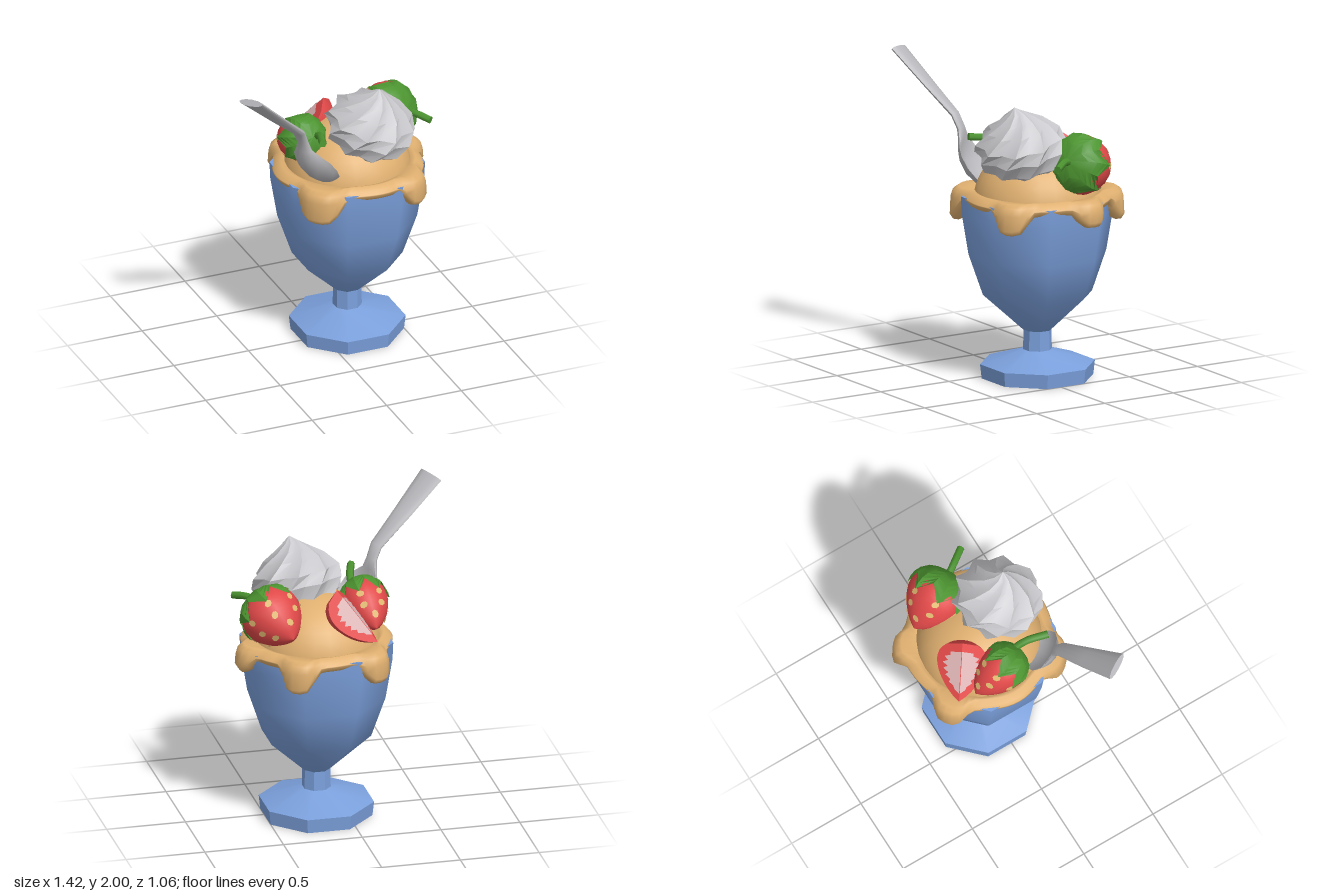
import * as THREE from 'three';
import { toCreasedNormals } from 'three/addons/utils/BufferGeometryUtils.js';

const V = (x, y, z) => new THREE.Vector3(x, y, z);
const AXIS = V(0.177, 0, -0.035);

function material(name, color, side = THREE.FrontSide) {
  const m = new THREE.MeshStandardMaterial({ color, side });
  m.name = name;
  return m;
}

// Surface from rows of points; closed loops the columns, rows run upward
function grid(rows, cols, point, closed = true) {
  const pos = [], index = [], n = closed ? cols : cols + 1;
  for (let i = 0; i <= rows; i++) {
    for (let j = 0; j < n; j++) pos.push(...point(i, j).toArray());
  }
  for (let i = 0; i < rows; i++) {
    for (let j = 0; j < cols; j++) {
      const a = i * n + j, b = i * n + (j + 1) % n;
      index.push(a, b, b + n, a, b + n, a + n);
    }
  }
  const g = new THREE.BufferGeometry();
  g.setAttribute('position', new THREE.Float32BufferAttribute(pos, 3));
  g.setIndex(index);
  g.computeVertexNormals();
  return g;
}

function add(parent, name, geometry, mat) {
  const mesh = new THREE.Mesh(geometry, mat);
  mesh.name = name;
  parent.add(mesh);
  return mesh;
}

const lathe = (pts, segs, start = 0, length = Math.PI * 2) =>
  new THREE.LatheGeometry(pts.map(([r, y]) => new THREE.Vector2(r, y)), segs, start, length);

// Berry radius, t from 0 at the stem to 1 at the tip
const berryR = t => t < 0.36
  ? Math.sqrt(Math.max(0, 1 - ((0.36 - t) / 0.36) ** 2))
  : Math.max(0, Math.cos((t - 0.36) / 0.64 * Math.PI / 2)) ** 0.75;

const berryProfile = (L, R) =>
  Array.from({ length: 15 }, (_, i) => [R * berryR(1 - i / 14), -L * (1 - i / 14)]);

export function createModel() {
  const model = new THREE.Group();
  model.name = 'sundae';
  const two = THREE.DoubleSide;
  const glass = material('blue glass', 0x7ba0dc);
  const caramel = material('caramel ice cream', 0xe0b070);
  const white = material('whipped cream', 0xc8c8cc);
  const metal = material('spoon metal', 0xb8b8bc);
  const red = material('berry red', 0xe04848, two);
  const pale = material('berry flesh', 0xdcb4b4, two);
  const green = material('leaf green', 0x4c9430, two);
  const seedMat = material('seed', 0xe0b870, two);

  // Eight-sided glass: faceted foot and stem, smooth bowl
  const foot = lathe([[0, 0], [0.35, 0], [0.36, 0.09], [0.09, 0.175], [0.088, 0.3]], 8, Math.PI / 8);
  add(model, 'foot', toCreasedNormals(foot, 0.5), glass).position.copy(AXIS);
  const bowl = lathe([[0.09, 0.3], [0.342, 0.53], [0.432, 0.79], [0.475, 1.05], [0.48, 1.16], [0.3, 1.16]], 8, Math.PI / 8);
  add(model, 'bowl', toCreasedNormals(bowl, 0.9), glass).position.copy(AXIS);

  // Ice cream dome
  const dome = add(model, 'iceCreamDome',
    new THREE.SphereGeometry(1, 24, 10, 0, Math.PI * 2, 0, Math.PI / 2), caramel);
  dome.scale.set(0.4, 0.36, 0.4);
  dome.position.copy(AXIS).setY(1.11);

  // Melting rim: [angle, bottom height, half width] of each drip
  const drips = [[-0.76, 0.98, 0.29], [0.66, 1.0, 0.22], [1.75, 1.03, 0.2], [2.67, 0.99, 0.22], [-2.51, 1.0, 0.22]];
  const rim = grid(8, 72, (i, j) => {
    const a = j / 72 * Math.PI * 2;
    let bottom = 1.115, bulge = 0;
    for (const [da, y, w] of drips) {
      const d = Math.atan2(Math.sin(a - da), Math.cos(a - da));
      const k = Math.exp(-((d / w) ** 4));
      bottom -= (1.115 - y) * k;
      bulge += 0.07 * k;
    }
    const R = 0.47 + bulge + 0.006 * Math.sin(a * 7);
    const [r, y] = [
      [0.42, bottom + 0.03], [R - 0.055, bottom], [R - 0.02, bottom + 0.005], [R, bottom + 0.035],
      [R - 0.005, Math.max(1.13, bottom + 0.04)], [R - 0.02, 1.175], [R - 0.055, 1.198],
      [0.39, 1.19], [0.34, 1.15]][i];
    return V(r * Math.sin(a), y, r * Math.cos(a));
  });
  add(model, 'meltedRim', rim, caramel).position.copy(AXIS);

  // Whipped cream swirl, twisted ridges on a leaning axis
  const swirl = [[0, 0.03], [0.17, 0], [0.25, 0.05], [0.285, 0.14], [0.27, 0.21], [0.19, 0.29], [0.11, 0.345], [0.05, 0.39], [0, 0.43]];
  const cream = grid(swirl.length - 1, 18, (i, j) => {
    const [r, y] = swirl[i], k = r * (j % 2 ? 0.87 : 1.02);
    const a = j / 18 * Math.PI * 2 + i * 0.22;
    return V(k * Math.sin(a), y, k * Math.cos(a));
  });
  const creamMesh = add(model, 'whippedCream', toCreasedNormals(cream, 0.45), white);
  creamMesh.position.set(0.235, 1.345, 0.105);
  creamMesh.rotation.set(0.24, 0, -0.13);

  // Spoon: sections of [x, y, z, half width, half thickness, hollow]
  const spoon = [
    [-0.67, 1.975, 0.44, 0, 0, 0], [-0.67, 1.975, 0.44, 0.09, 0.022, 0], [-0.46, 1.775, 0.35, 0.068, 0.022, 0],
    [-0.28, 1.61, 0.275, 0.045, 0.022, 0], [-0.245, 1.53, 0.255, 0.04, 0.022, 0], [-0.23, 1.47, 0.245, 0.06, 0.02, 0.01],
    [-0.205, 1.42, 0.235, 0.105, 0.015, 0.04], [-0.16, 1.36, 0.225, 0.138, 0.012, 0.065],
    [-0.105, 1.29, 0.215, 0.135, 0.012, 0.065], [-0.05, 1.23, 0.205, 0.095, 0.012, 0.04],
    [-0.015, 1.2, 0.2, 0.045, 0.01, 0.01], [-0.005, 1.195, 0.2, 0, 0, 0]];
  const across = V(0.48, 0.16, 0.86).normalize();
  const centre = i => V(...spoon[THREE.MathUtils.clamp(i, 0, spoon.length - 1)]);
  const spoonGeo = grid(spoon.length - 1, 12, (i, j) => {
    const [, , , hw, th, dent] = spoon[i];
    const along = centre(i + 1).sub(centre(i - 1)).normalize();
    const up = across.clone().cross(along).normalize();
    if (up.y < 0) up.negate();
    const side = along.clone().cross(up).normalize();
    const a = -j / 12 * Math.PI * 2, c = Math.cos(a);
    return centre(i).addScaledVector(side, hw * c)
      .addScaledVector(up, th * Math.sin(a) - dent * (1 - c * c));
  });
  // keep the faces turned outward
  const p = spoonGeo.attributes.position, q = k => V().fromBufferAttribute(p, k);
  const n0 = q(25).sub(q(24)).cross(q(36).sub(q(24)));
  if (n0.dot(q(24).sub(centre(2))) < 0) {
    spoonGeo.setIndex(Array.from(spoonGeo.index.array).reverse());
    spoonGeo.computeVertexNormals();
  }
  add(model, 'spoon', toCreasedNormals(spoonGeo, 0.9), metal);

  // Whole strawberries with seeds, leaf cap and stem
  function strawberry(name, middle, dir, L, R, stemPts, turn) {
    const berry = new THREE.Group();
    berry.name = name;
    const d = dir.clone().normalize();
    berry.position.copy(middle).addScaledVector(d, L / 2);
    berry.quaternion.setFromUnitVectors(V(0, 1, 0), d);
    add(berry, 'berryBody', lathe(berryProfile(L, R), 18), red);
    const at = (t, a, off) => V((R * berryR(t) + off) * Math.sin(a), -L * t, (R * berryR(t) + off) * Math.cos(a));

    [[0.5, 7], [0.68, 6], [0.84, 4]].forEach(([t, count], row) => {
      for (let k = 0; k < count; k++) {
        const a = (k + row * 0.5) / count * Math.PI * 2 + turn;
        const seed = add(berry, 'seed', new THREE.CircleGeometry(0.021, 7), seedMat);
        const slope = R * (berryR(t + 0.02) - berryR(t - 0.02)) / (0.04 * L);
        const normal = V(Math.sin(a), slope, Math.cos(a)).normalize();
        seed.position.copy(at(t, a, 0)).addScaledVector(normal, 0.004);
        seed.quaternion.setFromUnitVectors(V(0, 0, 1), normal);
        seed.scale.y = 1.25;
      }
    });
    const cap = grid(5, 14, (i, j) => {
      const end = j % 2 ? 0.24 : 0.47;
      return at(end * (1 - i / 5), j / 14 * Math.PI * 2 + turn, i === 5 ? 0 : 0.012).add(V(0, 0.012 * i / 5, 0));
    });
    add(berry, 'leafCap', toCreasedNormals(cap, 0.6), green);
    model.add(berry);

    const curve = new THREE.CatmullRomCurve3(stemPts);
    add(model, name + 'Stem', new THREE.TubeGeometry(curve, 6, 0.024, 6), green);
    const tip = add(model, name + 'StemEnd', new THREE.CircleGeometry(0.024, 6), green);
    tip.position.copy(curve.getPoint(1));
    tip.quaternion.setFromUnitVectors(V(0, 0, 1), curve.getTangent(1));
  }
  strawberry('leftStrawberry', V(0.475, 1.375, -0.19), V(0.35, 0.33, 0.85), 0.41, 0.19,
    [V(0.53, 1.42, -0.06), V(0.59, 1.45, 0.03), V(0.665, 1.43, 0.13)], 0.3);
  strawberry('rightStrawberry', V(-0.13, 1.365, -0.09), V(0.1, 0.4, 0.85), 0.39, 0.145,
    [V(-0.07, 1.42, 0.03), V(-0.08, 1.48, 0.14), V(-0.12, 1.5, 0.28)], 0.1);

  // Strawberry wedge: curved skin and two cut faces meeting in a ridge
  const top = V(0.09, 1.54, -0.21), tipPoint = V(-0.13, 1.24, -0.37);
  const up = top.clone().sub(tipPoint), L = up.length(), R = 0.17, s = 1.15;
  up.normalize();
  const inward = V(0.5, -0.7, 0.4);
  inward.addScaledVector(up, -inward.dot(up)).normalize();
  const wedge = new THREE.Group();
  wedge.name = 'strawberryWedge';
  wedge.quaternion.setFromRotationMatrix(
    new THREE.Matrix4().makeBasis(up.clone().cross(inward), up, inward));
  wedge.position.copy(top);
  const profile = berryProfile(L, R);
  add(wedge, 'wedgeSkin', lathe(profile, 8, -s, 2 * s), red);
  const shape = pts => new THREE.ShapeGeometry(new THREE.Shape(pts.map(([r, y]) => new THREE.Vector2(r, y))));
  const core = profile.map(([r, y], i) => [r * (i % 2 ? 0.75 : 0.55), (y + L / 2) * 0.72 - L / 2]);
  for (const sign of [-1, 1]) {
    const cut = add(wedge, 'cutFace', shape(profile), red);
    cut.rotation.y = sign * s - Math.PI / 2;
    add(cut, 'cutFlesh', shape(core), pale).position.z = -sign * 0.005;
  }
  model.add(wedge);
  return model;
}
